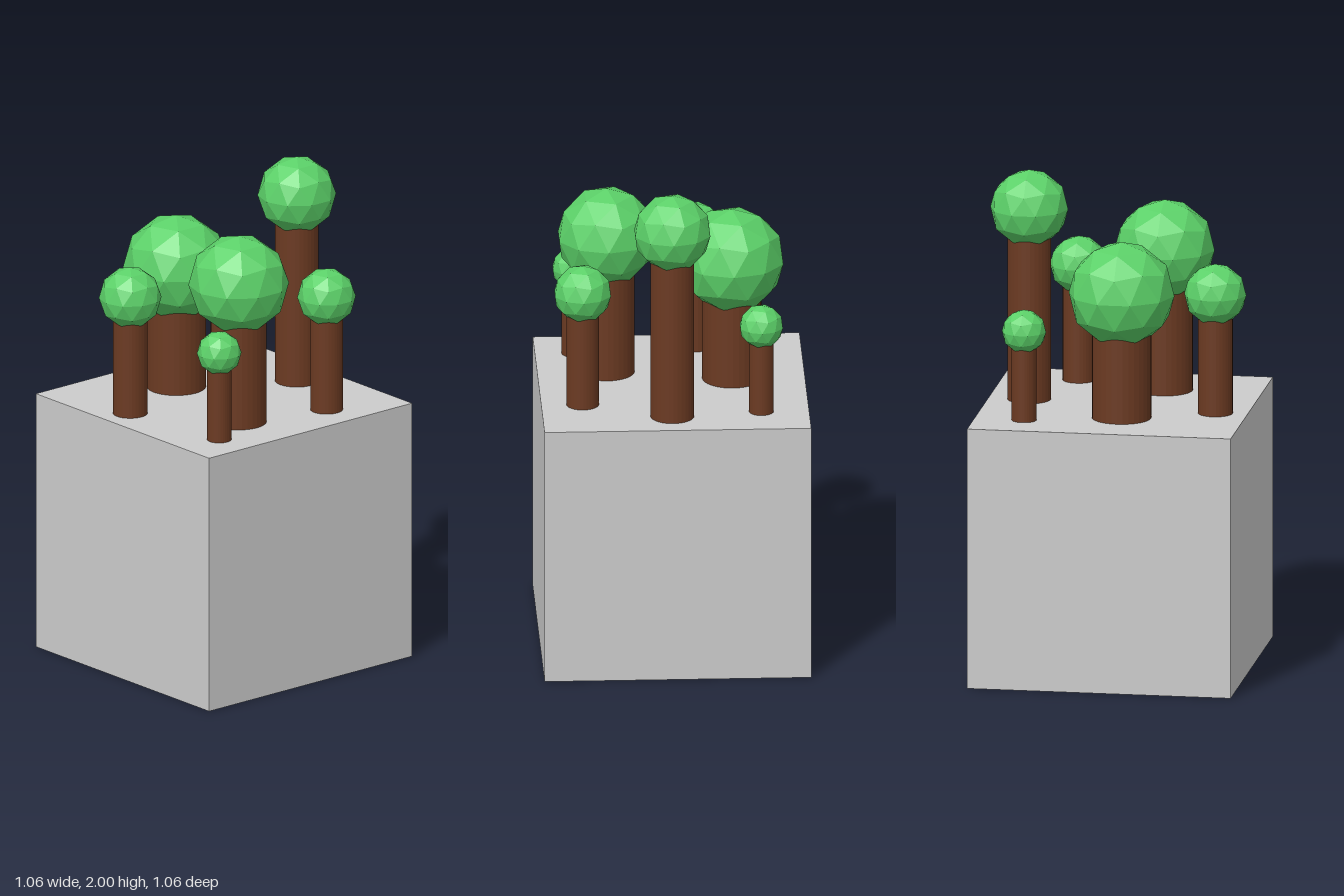
import * as THREE from 'three';

const BASE = 1.062; // edge of the cube the trees stand on

// crown centre x, z, crown radius, crown top y
const TREES = [
  [0.015, -0.368, 0.157, 2.0],
  [-0.24, 0.045, 0.213, 1.78],
  [0.254, 0.14, 0.201, 1.84],
  [0.366, -0.224, 0.117, 1.651],
  [-0.341, -0.332, 0.089, 1.513],
  [0.375, 0.345, 0.089, 1.513],
  [-0.105, 0.401, 0.125, 1.672],
];

export function createModel() {
  const model = new THREE.Group();
  const stone = new THREE.MeshStandardMaterial({ color: 0xcccccc, flatShading: true });
  const bark = new THREE.MeshStandardMaterial({ color: 0x6b3a22, flatShading: true });
  const leaf = new THREE.MeshStandardMaterial({ color: 0x5bd068, flatShading: true });

  // Cube base
  const base = new THREE.Mesh(new THREE.BoxGeometry(BASE, BASE, BASE), stone);
  base.name = 'base';
  base.position.y = BASE / 2;
  model.add(base);

  // Low-poly ball turned so that a corner points straight up
  const ball = new THREE.IcosahedronGeometry(1, 1);
  ball.rotateX(-Math.atan((1 + Math.sqrt(5)) / 2));
  ball.rotateY(-Math.PI / 2);

  // Trees: a thick trunk running up into a round crown
  const post = new THREE.CylinderGeometry(1, 1, 1, 32);
  for (const [x, z, r, top] of TREES) {
    const tree = new THREE.Group();
    tree.name = 'tree';
    tree.position.set(x, BASE, z);

    const height = top - r - BASE; // trunk ends at the crown centre
    const trunk = new THREE.Mesh(post, bark);
    trunk.name = 'trunk';
    trunk.scale.set(r * 0.555, height, r * 0.555);
    trunk.position.y = height / 2;

    const crown = new THREE.Mesh(ball, leaf);
    crown.name = 'crown';
    crown.scale.setScalar(r);
    crown.position.y = height;

    tree.add(trunk, crown);
    model.add(tree);
  }
  return model;
}
